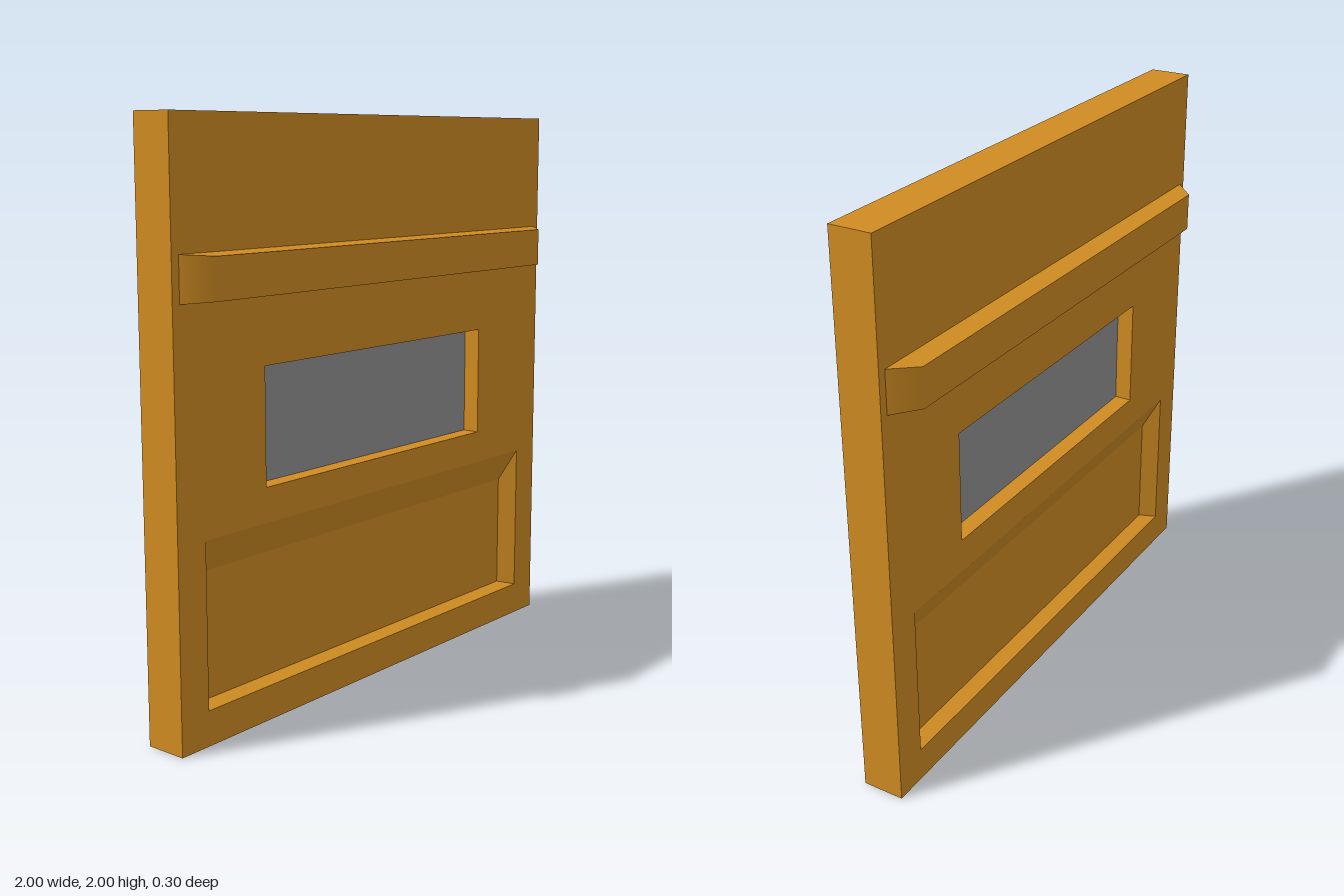
import * as THREE from 'three';
import { mergeGeometries, toCreasedNormals } from 'three/addons/utils/BufferGeometryUtils.js';

const HALF = 0.075; // half the slab thickness
const wood = new THREE.MeshStandardMaterial({ color: 0xd08c22 });
const grey = new THREE.MeshStandardMaterial({ color: 0x939393 });

// Rectangles are [x half-width, bottom, top]
const OUTER = [1, 0, 2];
const WINDOW = [0.6, 0.8, 1.2];
const RECESS = [0.88, 0.12, 0.68];
const RECESS_FLOOR = [0.84, 0.13, 0.56];
const RAIL_BASE = [0.97, 1.428, 1.578];
const RAIL_FACE = [0.89, 1.435, 1.572];

const corners = ([w, b, t]) => [[-w, b], [w, b], [w, t], [-w, t]];

// Four walls joining rectangle a at depth za to rectangle b at depth zb
function walls(a, za, b, zb) {
  const A = corners(a).map(([x, y]) => [x, y, za]);
  const B = corners(b).map(([x, y]) => [x, y, zb]);
  const pos = [];
  for (let i = 0; i < 4; i++) {
    const j = (i + 1) % 4;
    pos.push(...A[i], ...A[j], ...B[j], ...A[i], ...B[j], ...B[i]);
  }
  const g = new THREE.BufferGeometry();
  g.setAttribute('position', new THREE.Float32BufferAttribute(pos, 3));
  g.computeVertexNormals();
  return g;
}

// Flat rectangle facing +z
function panel([w, b, t], z, segments = 1) {
  const g = new THREE.PlaneGeometry(2 * w, t - b, segments, 1);
  return g.translate(0, (b + t) / 2, z);
}

// Slab face with openings for the window and the recess
function slabFace() {
  const toPoints = (r) => corners(r).map(([x, y]) => new THREE.Vector2(x, y));
  const shape = new THREE.Shape(toPoints(OUTER));
  for (const r of [WINDOW, RECESS]) shape.holes.push(new THREE.Path(toPoints(r).reverse()));
  return new THREE.ShapeGeometry(shape).translate(0, 0, HALF);
}

// Raised rail with chamfered ends that shade softly into its face
function railGeometry() {
  const face = panel(RAIL_FACE, 0.152, 20).toNonIndexed();
  face.deleteAttribute('uv');
  const merged = mergeGeometries([face, walls(RAIL_BASE, HALF, RAIL_FACE, 0.152)]);
  return toCreasedNormals(merged, 0.95);
}

export function createModel() {
  const model = new THREE.Group();
  model.name = 'door';

  const add = (parent, name, geometry, material = wood) => {
    const mesh = new THREE.Mesh(geometry, material);
    mesh.name = name;
    parent.add(mesh);
  };

  // Outer edges of the slab
  add(model, 'slabEdges', walls(OUTER, -HALF, OUTER, HALF));

  // The two sides of the door are alike
  for (const side of ['front', 'back']) {
    const half = new THREE.Group();
    half.name = side + 'Side';
    add(half, 'slabFace', slabFace());
    add(half, 'windowReveal', walls(WINDOW, HALF, WINDOW, 0.012));
    add(half, 'windowPane', panel(WINDOW, 0.012), grey);
    add(half, 'recessBevel', walls(RECESS, HALF, RECESS_FLOOR, 0.016));
    add(half, 'recessPanel', panel(RECESS_FLOOR, 0.016));
    add(half, 'rail', railGeometry());
    if (side === 'back') half.rotation.y = Math.PI;
    model.add(half);
  }
  return model;
}
